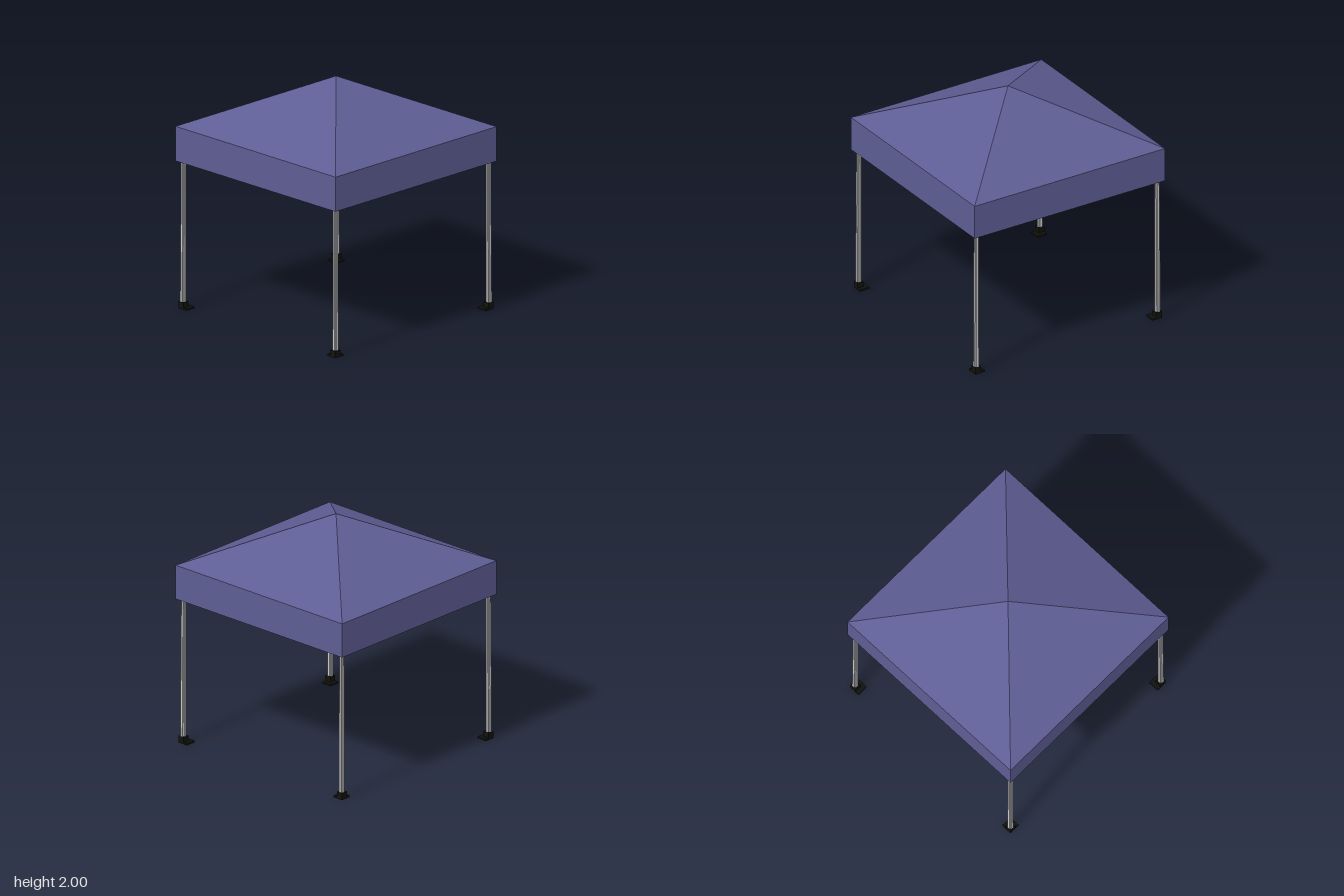
import * as THREE from 'three';

const HALF = 0.926, EAVE = 1.565, HEM = 1.268, APEX = 2;

export function createModel() {
  const root = new THREE.Group();
  root.name = 'canopyTent';
  const fabric = new THREE.MeshStandardMaterial({ color: 0x5e5d94, flatShading: true, side: THREE.DoubleSide });
  const metal = new THREE.MeshStandardMaterial({ color: 0xcccccc, flatShading: true });
  const rubber = new THREE.MeshStandardMaterial({ color: 0x11110d, flatShading: true });

  const add = (parent, name, geometry, material, x = 0, y = 0, z = 0) => {
    const mesh = new THREE.Mesh(geometry, material);
    mesh.name = name;
    mesh.position.set(x, y, z);
    parent.add(mesh);
    return mesh;
  };

  // Fabric: four-sided pyramid roof and hanging valance
  const r = HALF * Math.SQRT2;
  add(root, 'roof', new THREE.ConeGeometry(r, APEX - EAVE, 4, 1, true, Math.PI / 4), fabric, 0, (APEX + EAVE) / 2);
  add(root, 'valance', new THREE.CylinderGeometry(r, r, EAVE - HEM, 4, 1, true, Math.PI / 4), fabric, 0, (EAVE + HEM) / 2);

  // Leg: square tube with notched corners, its outer sides leaning in slightly
  const legHeight = 1.54, w = 0.045, n = 0.012;
  const profile = new THREE.Shape([
    [n, 0], [w - n, 0], [w - n, n], [w, n], [w, w - n], [w - n, w - n],
    [w - n, w], [n, w], [n, w - n], [0, w - n], [0, n], [n, n],
  ].map(([x, y]) => new THREE.Vector2(x, y)));
  const legGeo = new THREE.ExtrudeGeometry(profile, { depth: legHeight, bevelEnabled: false });
  const p = legGeo.attributes.position;
  for (let i = 0; i < p.count; i++) {
    const k = 1 - 0.2 * p.getZ(i) / legHeight;
    p.setXY(i, p.getX(i) * k, p.getY(i) * k);
  }
  legGeo.rotateX(-Math.PI / 2).rotateY(-Math.PI / 2);

  // Hip rafter running just under the roof from corner to peak
  const low = new THREE.Vector3(0.88, 1.555, 0.88);
  const high = new THREE.Vector3(0, 1.965, 0);
  const rafterGeo = new THREE.BoxGeometry(0.04, 0.03, low.distanceTo(high));

  // One corner and one side, repeated around the tent
  for (let i = 0; i < 4; i++) {
    const corner = new THREE.Group();
    corner.name = 'corner' + (i + 1);
    corner.rotation.y = i * Math.PI / 2;
    root.add(corner);
    add(corner, 'leg', legGeo, metal, 0.86, 0.01, 0.86);
    add(corner, 'footBlock', new THREE.BoxGeometry(0.058, 0.06, 0.058), rubber, 0.88, 0.03, 0.88);
    add(corner, 'footPlate', new THREE.BoxGeometry(0.093, 0.016, 0.093), rubber, 0.8625, 0.008, 0.8625);
    add(corner, 'cornerBracket', new THREE.BoxGeometry(0.055, 0.045, 0.055), metal, 0.877, 1.54, 0.877);
    add(corner, 'eaveBeam', new THREE.BoxGeometry(1.74, 0.035, 0.04), metal, 0, 1.545, 0.878);
    const rafter = add(corner, 'rafter', rafterGeo, metal);
    rafter.position.addVectors(low, high).multiplyScalar(0.5);
    rafter.lookAt(rafter.position.clone().add(low.clone().sub(high)).applyAxisAngle(new THREE.Vector3(0, 1, 0), corner.rotation.y));
    rafter.rotation.set(0, 0, 0);
    rafter.quaternion.setFromRotationMatrix(new THREE.Matrix4().lookAt(low, high, new THREE.Vector3(0, 1, 0)));
  }
  add(root, 'peakHub', new THREE.BoxGeometry(0.06, 0.05, 0.06), metal, 0, 1.95, 0);

  return root;
}
